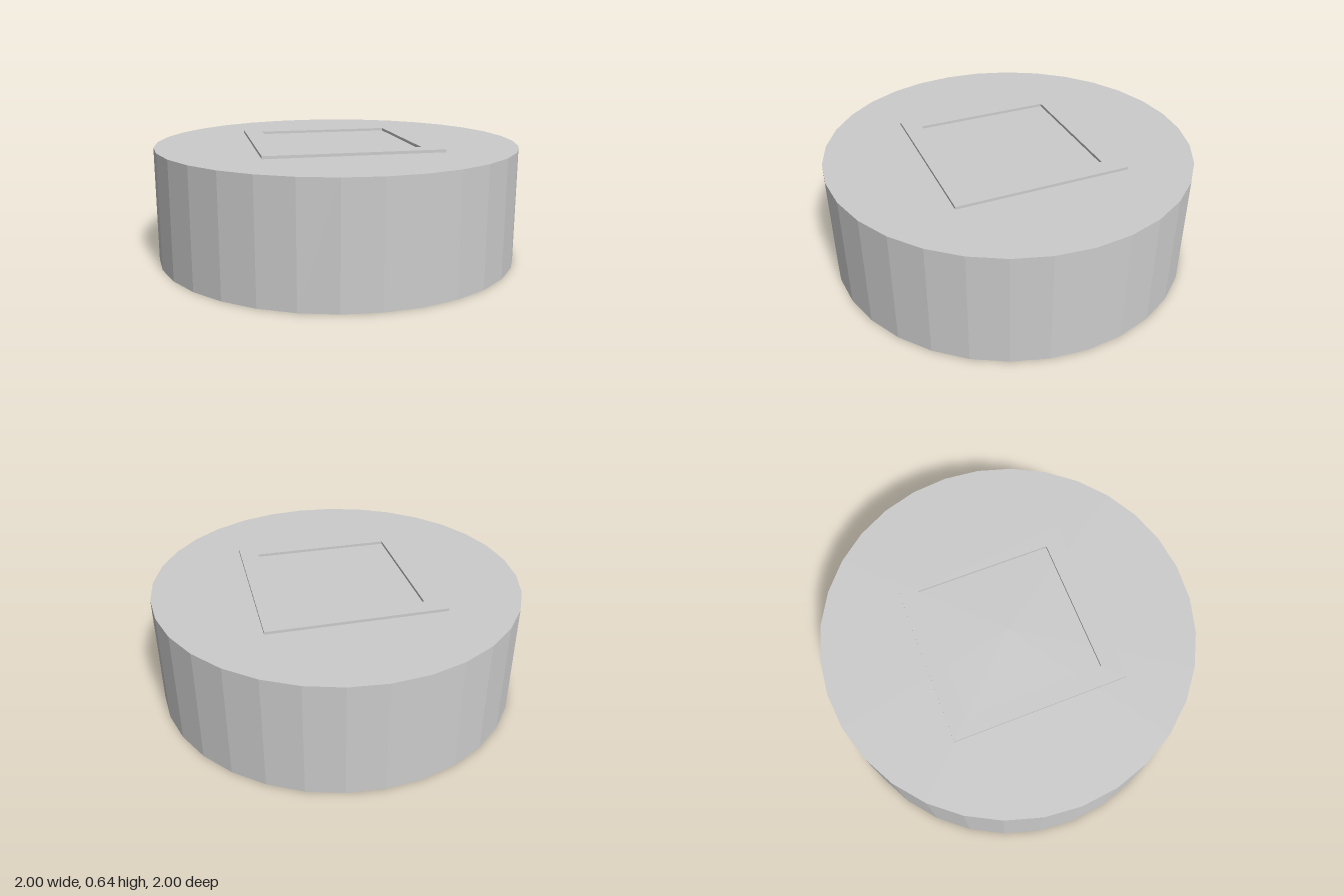
import * as THREE from 'three';

const BASE_HEIGHT = 0.625;
const FRAME_HEIGHT = 0.015;

// Closed square outline centred on the origin
function square(PathType, half) {
  return new PathType([[-1, -1], [1, -1], [1, 1], [-1, 1]]
    .map(([x, y]) => new THREE.Vector2(x * half, y * half)));
}

export function createModel() {
  const group = new THREE.Group();
  const material = new THREE.MeshStandardMaterial({ color: 0xcccccc, flatShading: true });

  // Faceted round base
  const base = new THREE.Mesh(new THREE.CylinderGeometry(1, 1, BASE_HEIGHT, 32), material);
  base.name = 'base';
  base.position.y = BASE_HEIGHT / 2;
  group.add(base);

  // Thin raised square frame on the top face
  const outline = square(THREE.Shape, 0.475);
  outline.holes.push(square(THREE.Path, 0.375));
  const frameGeometry = new THREE.ExtrudeGeometry(outline, { depth: FRAME_HEIGHT, bevelEnabled: false });
  frameGeometry.rotateX(-Math.PI / 2);
  const frame = new THREE.Mesh(frameGeometry, material);
  frame.name = 'squareFrame';
  frame.position.y = BASE_HEIGHT;
  group.add(frame);

  return group;
}
